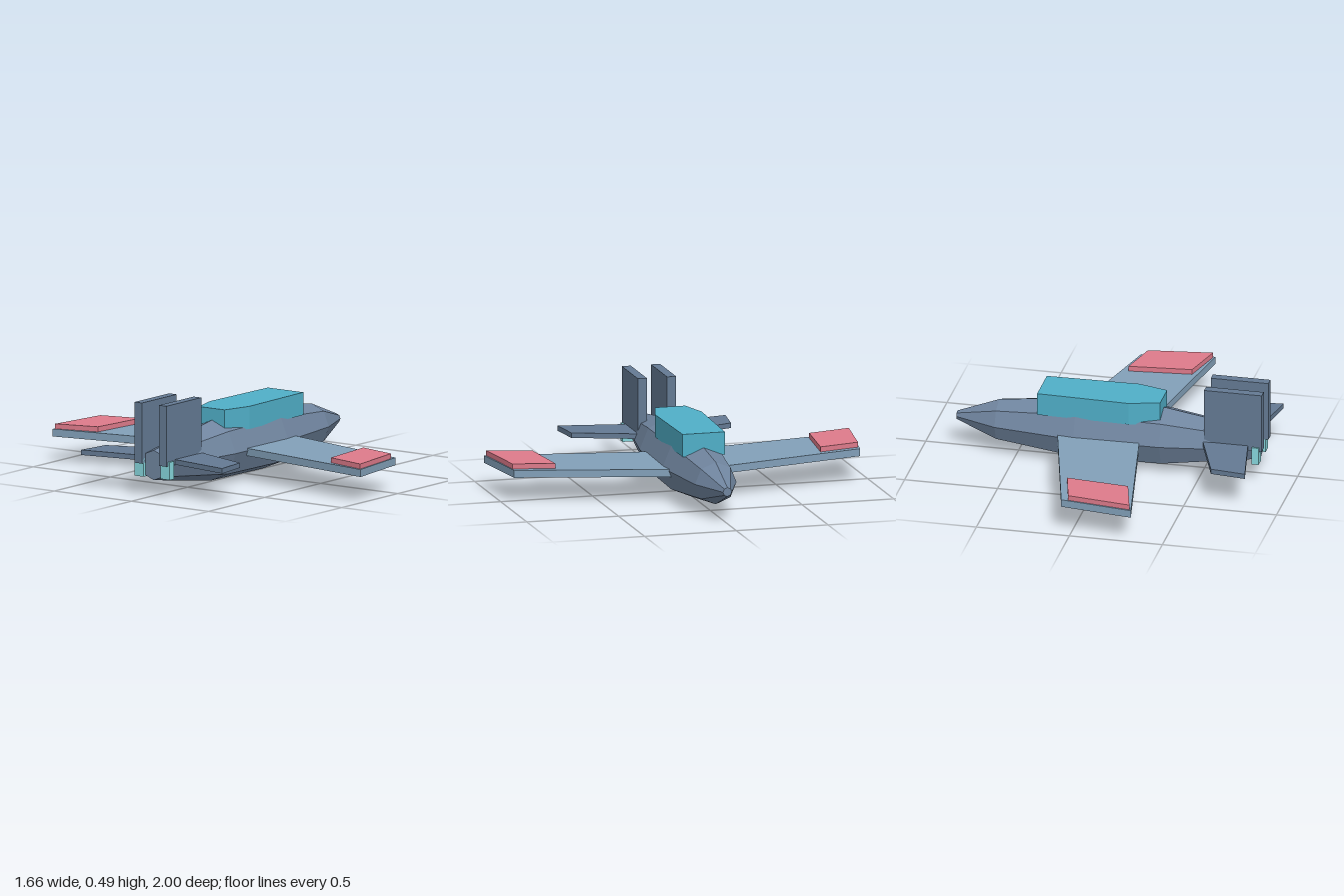
import * as THREE from 'three';

const paint = (color) => new THREE.MeshStandardMaterial({ color, flatShading: true });

// Flat slab from a plan outline of [x, z] points, between heights y0 and y1
function slab(name, outline, y0, y1, material) {
  const shape = new THREE.Shape(outline.map(([x, z]) => new THREE.Vector2(x, -z)));
  const geo = new THREE.ExtrudeGeometry(shape, { depth: y1 - y0, bevelEnabled: false });
  geo.rotateX(-Math.PI / 2).translate(0, y0, 0);
  const mesh = new THREE.Mesh(geo, material);
  mesh.name = name;
  return mesh;
}

function block(name, [x0, x1], [y0, y1], [z0, z1], material) {
  const mesh = new THREE.Mesh(new THREE.BoxGeometry(x1 - x0, y1 - y0, Math.abs(z1 - z0)), material);
  mesh.position.set((x0 + x1) / 2, (y0 + y1) / 2, (z0 + z1) / 2);
  mesh.name = name;
  return mesh;
}

export function createModel() {
  const model = new THREE.Group();
  model.name = 'aeroplane';
  const hull = paint(0x70859f);
  const wingPaint = paint(0x82a0b9);
  const tailPaint = paint(0x647a93);
  const glass = paint(0x50afc8);
  const red = paint(0xde7b8b);
  const glow = paint(0x86d6dc);

  // Eight-sided fuselage, nose towards +x, axis rising slightly to the nose
  const stations = [[0, -0.8], [0.08, -0.8], [0.16, -0.29], [0.167, 0.17], [0.113, 0.605], [0.024, 0.83], [0, 0.83]];
  const body = new THREE.LatheGeometry(stations.map(([r, x]) => new THREE.Vector2(r, x)), 8);
  body.rotateZ(-Math.PI / 2);
  const pos = body.attributes.position;
  for (let i = 0; i < pos.count; i++) {
    pos.setY(i, pos.getY(i) + 0.174 + 0.005 * pos.getX(i));
  }
  const fuselage = new THREE.Mesh(body, hull);
  fuselage.name = 'fuselage';
  model.add(fuselage);

  // Canopy
  model.add(slab('canopy', [
    [-0.28, -0.085], [-0.12, -0.13], [0.375, -0.115],
    [0.375, 0.115], [-0.12, 0.125], [-0.28, 0.08],
  ], 0.275, 0.396, glass));

  // Paired parts on each side of the fuselage
  for (const [side, s] of [['right', 1], ['left', -1]]) {
    const flip = (points) => points.map(([x, z]) => [x, z * s]);
    model.add(slab(side + 'Wing', flip([
      [-0.18, 0.14], [0.26, 0.14], [0.057, 0.943], [-0.33, 0.998],
    ]), 0.145, 0.185, wingPaint));
    model.add(slab(side + 'WingTipPanel', flip([
      [-0.26, 0.755], [0.075, 0.722], [0.02, 0.942], [-0.32, 0.988],
    ]), 0.185, 0.212, red));
    model.add(slab(side + 'Tailplane', flip([
      [-0.755, 0.1], [-0.512, 0.1], [-0.632, 0.435], [-0.82, 0.458],
    ]), 0.178, 0.205, tailPaint));
    model.add(block(side + 'Fin', [-0.83, -0.52], [0.177, 0.5], [0.055 * s, 0.104 * s], tailPaint));
    model.add(block(side + 'Exhaust', [-0.815, -0.778], [0.105, 0.2], [0.055 * s, 0.114 * s], glow));
  }
  return model;
}
